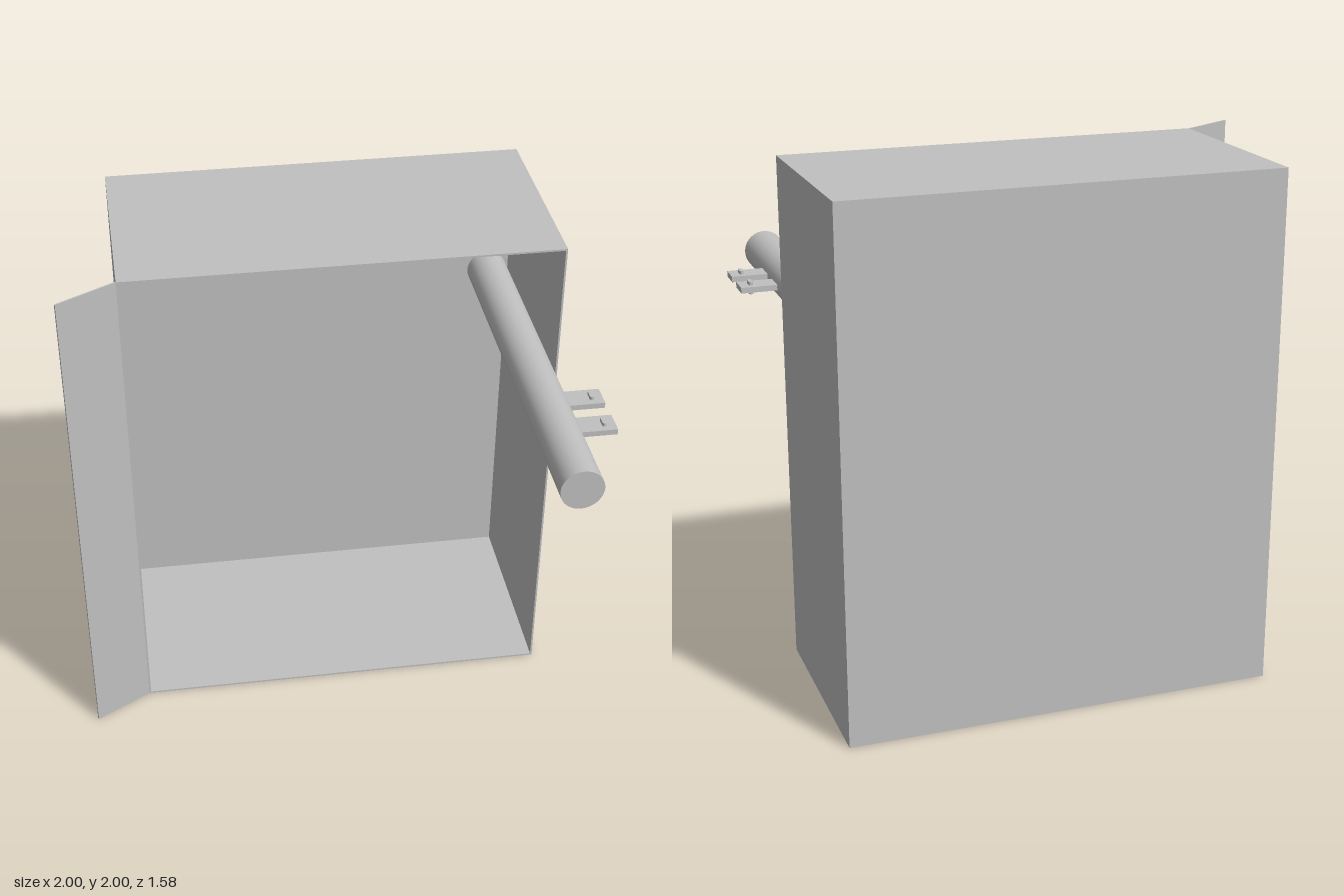
import * as THREE from 'three';

export function createModel() {
  const model = new THREE.Group();
  model.name = 'openCabinet';
  const grey = new THREE.MeshStandardMaterial({ color: 0xc0c0c0 });
  grey.name = 'light grey';

  const add = (name, geometry, x, y, z, parent = model) => {
    const mesh = new THREE.Mesh(geometry, grey);
    mesh.name = name;
    mesh.position.set(x, y, z);
    parent.add(mesh);
    return mesh;
  };
  // Box given by its two extreme corners
  const box = (name, [x0, y0, z0], [x1, y1, z1], parent) =>
    add(name, new THREE.BoxGeometry(x1 - x0, y1 - y0, z1 - z0),
      (x0 + x1) / 2, (y0 + y1) / 2, (z0 + z1) / 2, parent);

  // Thin-walled case, open at the front
  const L = -0.78, R = 0.877, B = -0.79, F = 0.04, H = 2, t = 0.007;
  const shell = new THREE.Group();
  shell.name = 'case';
  model.add(shell);
  box('backWall', [L, 0, B], [R, H, B + t], shell);
  box('rightWall', [L, t, B + t], [L + t, H - t, F], shell);
  box('leftWall', [R - t, t, B + t], [R, H - t, F], shell);
  box('topWall', [L, H - t, B + t], [R, H, F], shell);
  box('bottomWall', [L, 0, B + t], [R, t, F], shell);

  // Flap hinged on the front edge, swung 30 degrees forward
  const hinge = new THREE.Group();
  hinge.name = 'flap';
  hinge.position.set(L, 0, F);
  hinge.rotation.y = Math.PI / 6;
  model.add(hinge);
  box('flapPanel', [-0.252, 0, -0.006], [0, H, 0], hinge);

  // Round bar running from the back wall out through the opening
  const tip = 0.79, root = B + t, rodX = 0.78, rodY = 1.46;
  const rod = add('rod', new THREE.CylinderGeometry(0.081, 0.081, tip - root, 48),
    rodX, rodY, (tip + root) / 2);
  rod.rotation.x = Math.PI / 2;

  // Two side tabs, each with a small oval pin through it
  const pin = new THREE.Shape();
  pin.absarc(0.015, 0, 0.008, -Math.PI / 2, Math.PI / 2);
  pin.absarc(-0.015, 0, 0.008, Math.PI / 2, Math.PI * 1.5);
  const pinGeometry = new THREE.ExtrudeGeometry(pin, { depth: 0.048, bevelEnabled: false, curveSegments: 6 });
  pinGeometry.translate(0, 0, -0.024).rotateX(Math.PI / 2).rotateY(Math.PI / 2);
  for (const z of [0.238, 0.413]) {
    box('tab', [0.85, rodY - 0.011, z - 0.048], [1, rodY + 0.011, z + 0.048]);
    add('tabPin', pinGeometry, 0.956, rodY, z);
  }
  return model;
}
